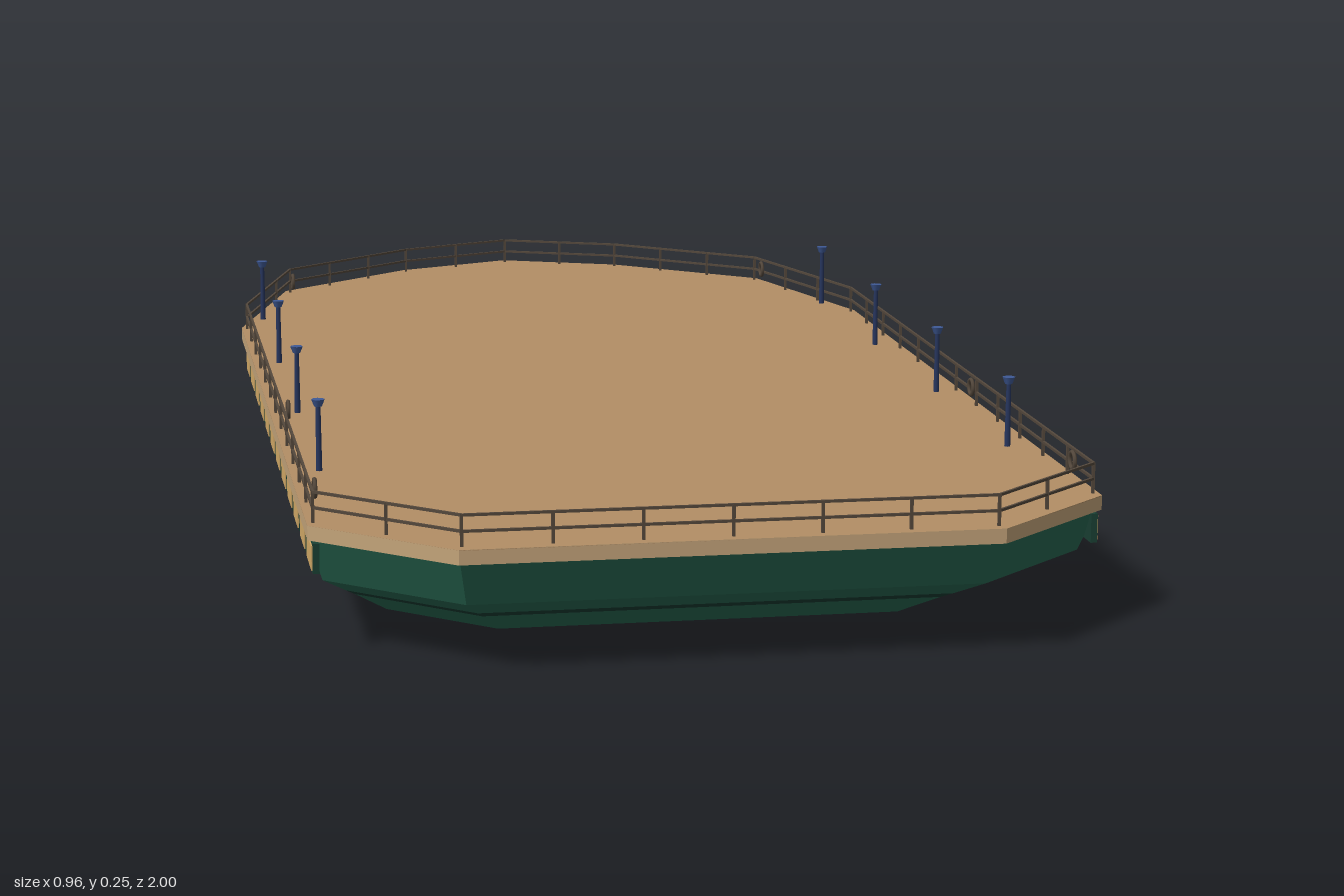
import * as THREE from 'three';
import { mergeGeometries } from 'three/addons/utils/BufferGeometryUtils.js';

const mat = (name, color, flatShading = false) => {
  const m = new THREE.MeshStandardMaterial({ color, flatShading });
  m.name = name;
  return m;
};

// Starboard half of the deck outline as [x, z], from bow apex to stern corner
const HALF = [[0, -1], [0.18, -0.925], [0.39, -0.75], [0.48, -0.43], [0.48, 0.855], [0.32, 1]];
const OUTLINE = [...HALF, ...HALF.slice(1).reverse().map(([x, z]) => [-x, z])];
const PIVOT_Z = 0.04;

// Outline scaled about the hull's middle, at height y
const ring = (scale, y) => OUTLINE.map(([x, z]) =>
  new THREE.Vector3(x * scale, y, PIVOT_Z + (z - PIVOT_Z) * scale));

// Flat-faced skin through a stack of rings, listed bottom to top
function loft(rings, capBottom, capTop) {
  const pos = [];
  const tri = (...pts) => pts.forEach((p) => pos.push(p.x, p.y, p.z));
  const n = OUTLINE.length;
  const cap = (r, up) => {
    const c = new THREE.Vector3(0, r[0].y, PIVOT_Z);
    for (let i = 0; i < n; i++) {
      const p = r[i], q = r[(i + 1) % n];
      if (up) tri(c, q, p); else tri(c, p, q);
    }
  };
  for (let k = 0; k < rings.length - 1; k++) {
    const a = rings[k], b = rings[k + 1];
    for (let i = 0; i < n; i++) {
      const j = (i + 1) % n;
      tri(a[i], b[i], b[j]);
      tri(a[i], b[j], a[j]);
    }
  }
  if (capBottom) cap(rings[0], false);
  if (capTop) cap(rings[rings.length - 1], true);
  const g = new THREE.BufferGeometry();
  g.setAttribute('position', new THREE.Float32BufferAttribute(pos, 3));
  g.computeVertexNormals();
  return g;
}

// Thin square bar between two points
function bar(a, b, width) {
  const d = b.clone().sub(a);
  const g = new THREE.BoxGeometry(width, width, d.length());
  const q = new THREE.Quaternion().setFromUnitVectors(new THREE.Vector3(0, 0, 1), d.normalize());
  g.applyQuaternion(q);
  const c = a.clone().add(b).multiplyScalar(0.5);
  return g.translate(c.x, c.y, c.z);
}

export function createModel() {
  const model = new THREE.Group();
  model.name = 'bargeHull';

  const green = mat('hullGreen', 0x2a6b55, true);
  const darkGreen = mat('stripeGreen', 0x1a4034, true);
  const wood = mat('deckWood', 0xb38e65, true);
  const trim = mat('deckEdge', 0xc4a47a, true);
  const railBrown = mat('railBrown', 0x54483c);
  const lampBlue = mat('lampBlue', 0x27365f);
  const headBlue = mat('lampHeadBlue', 0x3f5a96);
  const gold = mat('windowGold', 0xd4ab68);

  const add = (name, geometry, material) => {
    const mesh = new THREE.Mesh(geometry, material);
    mesh.name = name;
    model.add(mesh);
    return mesh;
  };

  // Hull, waterline stripe and deck
  const bottom = ring(0.772, 0), low = ring(0.866, 0.041), high = ring(0.893, 0.052);
  const knuckle = ring(0.96, 0.08), sheer = ring(0.992, 0.136);
  add('lowerHull', loft([bottom, low], true, false), green);
  add('waterlineStripe', loft([low, high], false, false), darkGreen);
  add('upperHull', loft([high, knuckle, sheer], false, false), green);
  add('deckEdge', loft([sheer, ring(1, 0.137), ring(1, 0.155)], false, false), trim);
  add('deck', loft([ring(1, 0.154), ring(1, 0.155)], false, true), wood);

  // Railing: two rails on evenly spread posts
  const rails = [], posts = [];
  const base = ring(0.984, 0.155);
  base.forEach((a, i) => {
    const b = base[(i + 1) % base.length];
    const lift = (p, y) => new THREE.Vector3(p.x, y, p.z);
    for (const y of [0.173, 0.192]) rails.push(bar(lift(a, y), lift(b, y), 0.0032));
    const n = Math.max(2, Math.round(a.distanceTo(b) / 0.105));
    for (let k = 0; k < n; k++) {
      const p = a.clone().lerp(b, k / n);
      posts.push(new THREE.BoxGeometry(0.0036, 0.038, 0.0036).translate(p.x, 0.174, p.z));
    }
  });
  add('rails', mergeGeometries(rails), railBrown);
  add('railPosts', mergeGeometries(posts), railBrown);

  for (const side of [1, -1]) {
    // Lifebuoys on the railing
    for (const [x, z] of [[0.465, 0.78], [0.463, 0.32], [0.383, -0.68]]) {
      const ringMesh = add('lifebuoy', new THREE.TorusGeometry(0.0105, 0.0028, 6, 16), railBrown);
      ringMesh.rotation.y = Math.PI / 2;
      ringMesh.position.set(side * x, 0.182, z);
    }

    // Deck lamps
    for (const z of [0.57, 0.213, -0.143, -0.5]) {
      const lamp = new THREE.Group();
      lamp.name = 'deckLamp';
      lamp.position.set(side * 0.443, 0.155, z);
      const pole = new THREE.Mesh(new THREE.CylinderGeometry(0.003, 0.004, 0.084, 8), lampBlue);
      pole.name = 'lampPole';
      pole.position.y = 0.042;
      const head = new THREE.Mesh(new THREE.CylinderGeometry(0.0085, 0.005, 0.009, 8), headBlue);
      head.name = 'lampHead';
      head.position.y = 0.0865;
      lamp.add(pole, head);
      model.add(lamp);
    }

    // Row of twelve side windows with dark surrounds
    for (let i = 0; i < 12; i++) {
      const z = 0.82 - i * 0.1068;
      add('windowFrame', new THREE.BoxGeometry(0.008, 0.036, 0.076), darkGreen)
        .position.set(side * 0.4705, 0.115, z);
      add('window', new THREE.BoxGeometry(0.006, 0.03, 0.07), gold)
        .position.set(side * 0.473, 0.115, z);
    }
  }
  return model;
}
